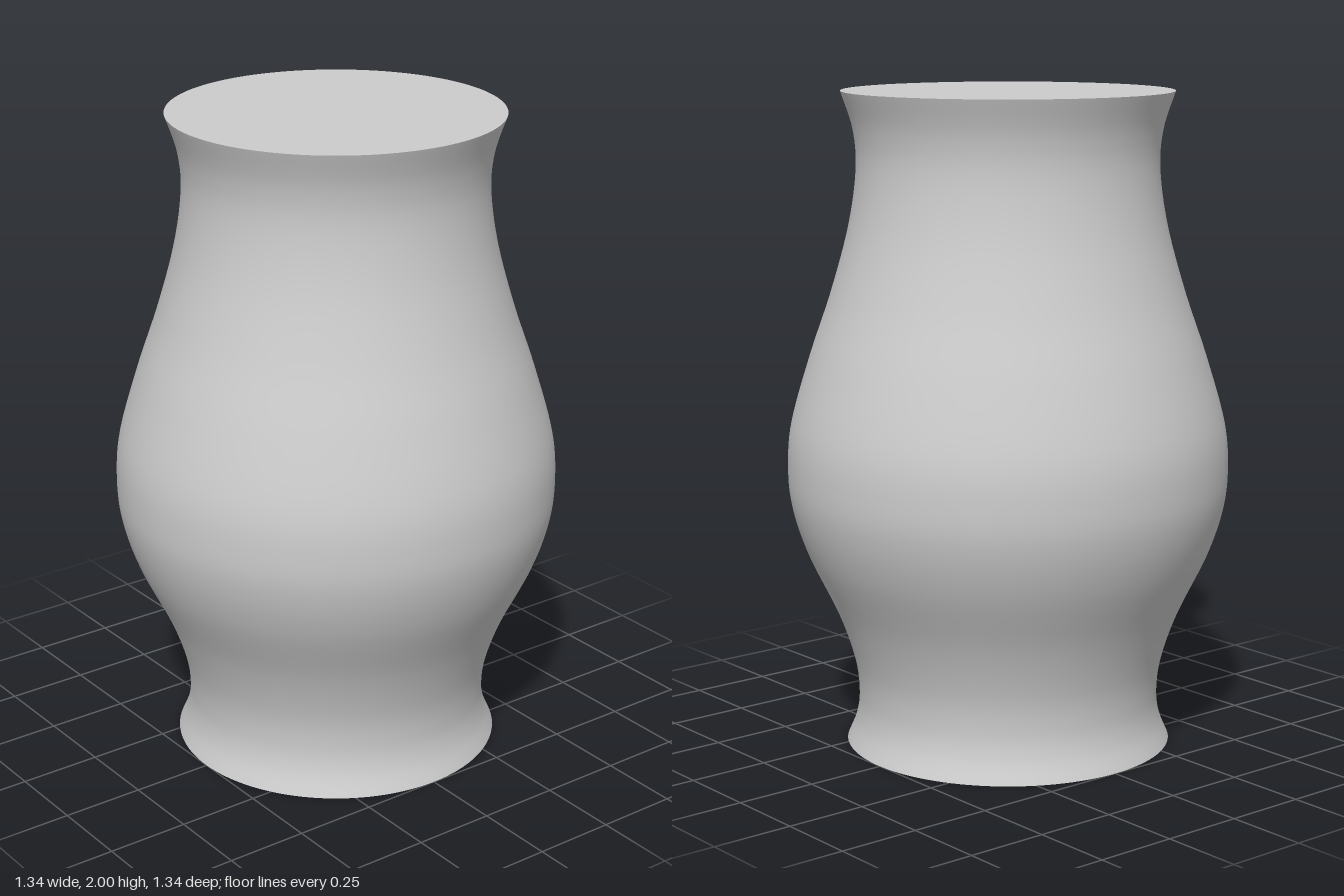
import * as THREE from 'three';

export function createModel() {
  const group = new THREE.Group();
  group.name = 'vase';
  const clay = new THREE.MeshStandardMaterial({ color: 0xcccccc });
  clay.name = 'light grey';

  // Smooth profile from foot to rim (radius, height)
  const profile = new THREE.SplineCurve([
    [0.5, 0], [0.472, 0.07], [0.462, 0.15], [0.475, 0.26], [0.525, 0.41],
    [0.615, 0.6], [0.66, 0.74], [0.672, 0.86], [0.66, 1.0], [0.603, 1.2],
    [0.535, 1.4], [0.48, 1.6], [0.456, 1.77], [0.465, 1.89], [0.5, 2],
  ].map(([r, y]) => new THREE.Vector2(r, y)));
  const body = new THREE.Mesh(new THREE.LatheGeometry(profile.getPoints(96), 128), clay);
  body.name = 'body';
  group.add(body);

  // Flat closed ends
  for (const [name, y, turn] of [['topCap', 2, -1], ['baseCap', 0, 1]]) {
    const cap = new THREE.Mesh(new THREE.CircleGeometry(0.5, 128), clay);
    cap.rotation.x = turn * Math.PI / 2;
    cap.position.y = y;
    cap.name = name;
    group.add(cap);
  }
  return group;
}
